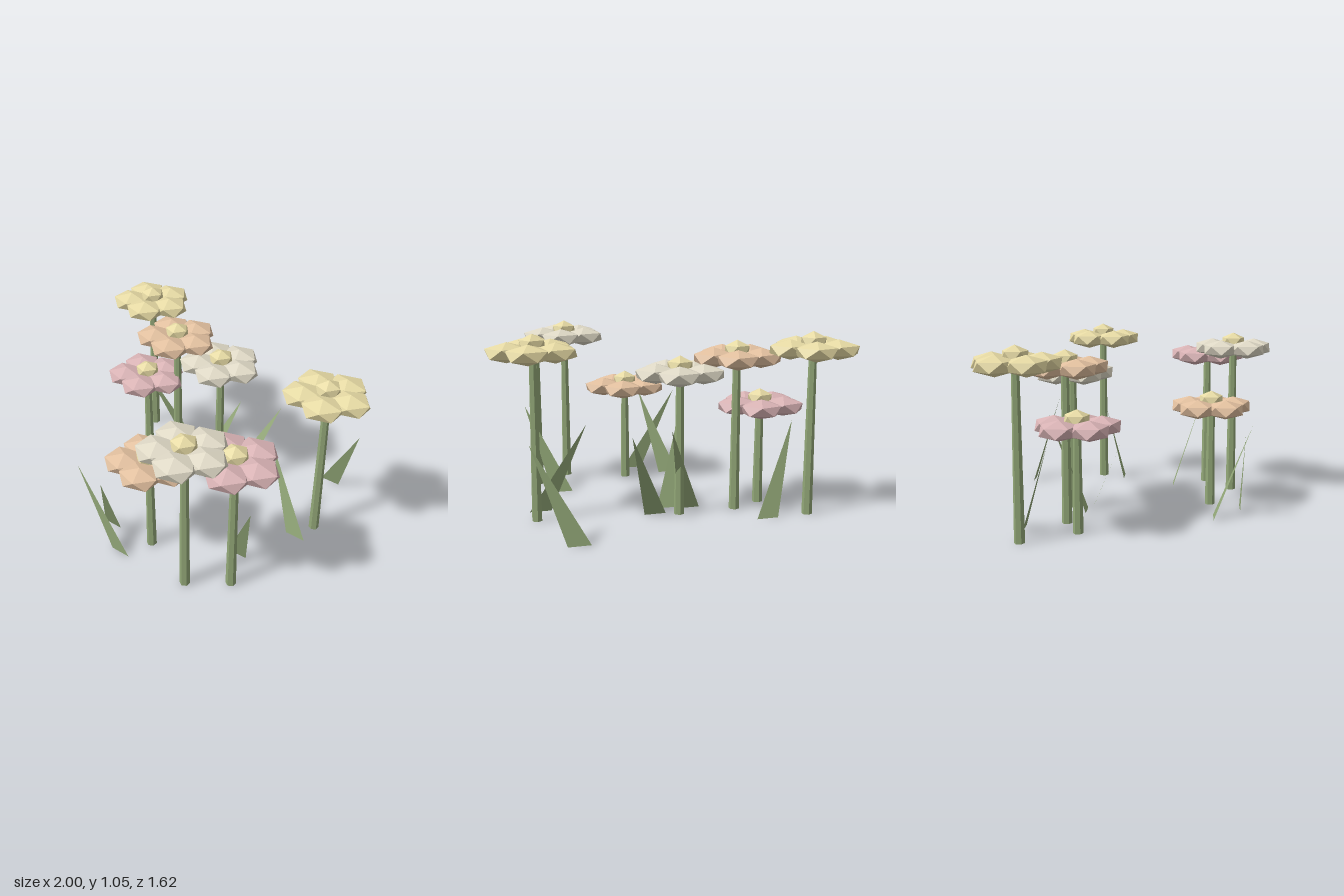
import * as THREE from 'three';

const mat = (color, side = THREE.FrontSide) =>
  new THREE.MeshStandardMaterial({ color, flatShading: true, side });

const yellow = mat(0xe6daa4), peach = mat(0xe2c09f), cream = mat(0xdfd9c6), pink = mat(0xd9b3b5);
const stemGreen = mat(0x93a878), leafGreen = mat(0x93a878, THREE.DoubleSide);

// Icosahedron standing on a vertex, squashed to a faceted pebble
function pebble(rx, ry, rz) {
  return new THREE.IcosahedronGeometry(1, 0)
    .rotateZ(-Math.atan(2 / (1 + Math.sqrt(5))))
    .scale(rx, ry, rz);
}
const petalGeo = pebble(0.132, 0.057, 0.119);
const coreGeo = pebble(0.08, 0.058, 0.08);

function add(parent, name, geometry, material, x = 0, y = 0, z = 0) {
  const mesh = new THREE.Mesh(geometry, material);
  mesh.name = name;
  mesh.position.set(x, y, z);
  parent.add(mesh);
}

// Stem, five petals in a ring and a raised core
function makeFlower(x, z, height, color) {
  const flower = new THREE.Group();
  flower.name = 'flower';
  flower.position.set(x, 0, z);
  add(flower, 'stem', new THREE.CylinderGeometry(0.022, 0.03, height, 6), stemGreen, 0, height / 2, 0);
  for (let i = 0; i < 5; i++) {
    const a = (i / 5) * Math.PI * 2;
    add(flower, 'petal', petalGeo, color, 0.138 * Math.cos(a), height, 0.138 * Math.sin(a));
  }
  add(flower, 'core', coreGeo, yellow, 0, height + 0.039, 0);
  return flower;
}

// Flat triangular blade: base edge along x on the ground, leaning to its tip
function makeBlade(x, z, tipX, tipZ) {
  const w = 0.063;
  const geo = new THREE.BufferGeometry().setFromPoints([
    new THREE.Vector3(x - w, 0, z),
    new THREE.Vector3(x + w, 0, z),
    new THREE.Vector3(tipX, 0.52, tipZ),
  ]);
  geo.computeVertexNormals();
  return geo;
}

export function createModel() {
  const model = new THREE.Group();
  model.name = 'flowerPatch';

  // x, z, head height, petal colour
  const flowers = [
    [-0.768, -0.583, 0.955, yellow],
    [-0.398, -0.382, 0.895, peach],
    [-0.06, -0.388, 0.82, cream],
    [-0.58, -0.295, 0.592, pink],
    [0.742, -0.288, 0.955, yellow],
    [0.053, 0.436, 0.605, peach],
    [0.417, 0.577, 0.925, cream],
    [0.624, 0.418, 0.86, pink],
  ];
  for (const f of flowers) model.add(makeFlower(...f));

  // base x, base z, tip x, tip z
  const blades = [
    [-0.518, -0.605, -0.725, -0.435],
    [-0.245, 0.452, -0.1, 0.68],
    [-0.04, 0.615, -0.33, 0.625],
    [-0.147, -0.3, 0.02, -0.51],
    [-0.025, -0.27, -0.163, -0.05],
    [0.074, -0.36, 0.267, -0.595],
    [0.512, 0.2, 0.71, 0.38],
    [0.7, -0.14, 0.445, -0.235],
    [0.588, -0.745, 0.818, -0.607],
  ];
  for (const b of blades) add(model, 'grassBlade', makeBlade(...b), leafGreen);

  return model;
}
